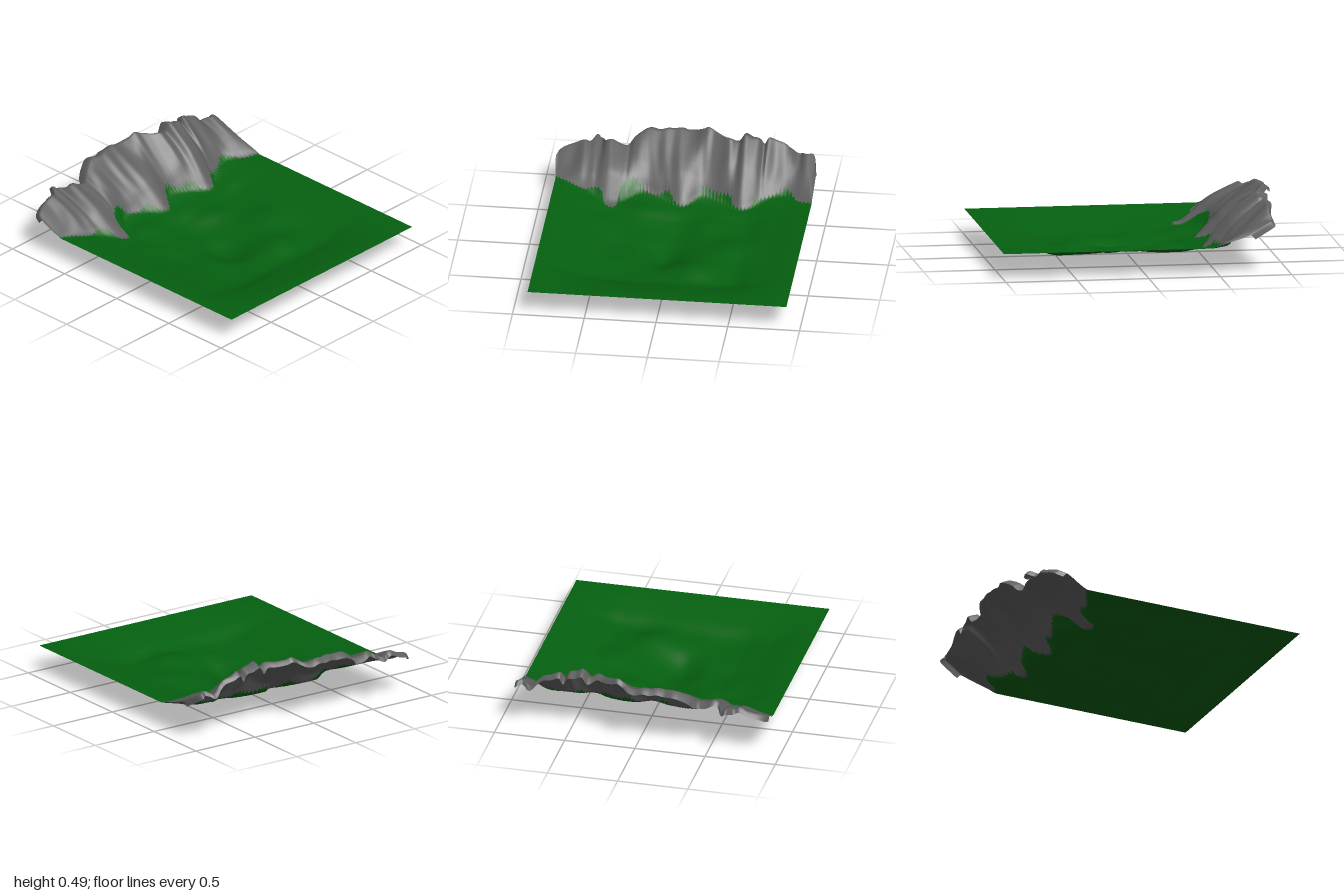
import * as THREE from 'three';

// Smooth curve through [x, value, x, value, ...]
function curve(p) {
  const n = p.length / 2;
  const slope = (i) => {
    const a = Math.max(i - 1, 0), b = Math.min(i + 1, n - 1);
    return (p[2 * b + 1] - p[2 * a + 1]) / (p[2 * b] - p[2 * a]);
  };
  return (x) => {
    let i = 0;
    while (i < n - 2 && x > p[2 * i + 2]) i++;
    const w = p[2 * i + 2] - p[2 * i];
    const t = THREE.MathUtils.clamp((x - p[2 * i]) / w, 0, 1);
    const t2 = t * t, t3 = t2 * t;
    return (2 * t3 - 3 * t2 + 1) * p[2 * i + 1] + (t3 - 2 * t2 + t) * w * slope(i)
      + (3 * t2 - 2 * t3) * p[2 * i + 3] + (t3 - t2) * w * slope(i + 1);
  };
}

// Height of the cliff crest along x
const crestY = curve([-0.895, 0.27, -0.88, 0.29, -0.85, 0.31, -0.78, 0.335, -0.72, 0.36, -0.68, 0.345,
  -0.64, 0.37, -0.61, 0.35, -0.54, 0.385, -0.48, 0.36, -0.41, 0.355, -0.37, 0.4, -0.3, 0.445,
  -0.26, 0.455, -0.2, 0.45, -0.15, 0.46, -0.1, 0.455, -0.05, 0.46, 0, 0.445, 0.05, 0.45,
  0.1, 0.475, 0.14, 0.495, 0.18, 0.48, 0.25, 0.465, 0.3, 0.465, 0.36, 0.44, 0.4, 0.495,
  0.45, 0.475, 0.5, 0.465, 0.535, 0.42, 0.56, 0.465, 0.62, 0.445, 0.68, 0.425, 0.72, 0.39,
  0.77, 0.345, 0.82, 0.365, 0.88, 0.35, 0.908, 0.27]);
// Rear edge of the cliff along x
const rimZ = curve([-0.895, -0.83, -0.88, -0.88, -0.8, -0.92, -0.72, -0.92, -0.68, -0.93, -0.64, -0.99,
  -0.6, -0.97, -0.57, -0.91, -0.5, -0.92, -0.42, -0.91, -0.4, -0.94, -0.33, -0.98, -0.27, -1,
  -0.2, -0.985, -0.1, -1, 0, -1, 0.05, -0.99, 0.1, -0.96, 0.16, -0.95, 0.22, -0.92, 0.3, -0.88,
  0.38, -0.92, 0.5, -0.91, 0.6, -0.92, 0.7, -0.9, 0.78, -0.92, 0.83, -0.88, 0.88, -0.9, 0.908, -0.76]);
// Line where the ground starts to climb, with spurs running forward
const footZ = curve([-0.895, -0.63, -0.7, -0.55, -0.48, -0.43, -0.3, -0.59, -0.15, -0.55, 0, -0.47,
  0.13, -0.58, 0.28, -0.54, 0.42, -0.46, 0.56, -0.55, 0.7, -0.6, 0.82, -0.52, 0.908, -0.46]);
// Border between grass and rock
const border = curve([-0.895, -0.65, -0.8, -0.6, -0.7, -0.55, -0.6, -0.55, -0.55, -0.5, -0.53, -0.42,
  -0.45, -0.41, -0.435, -0.53, -0.42, -0.58, -0.35, -0.63, -0.3, -0.62, -0.2, -0.57, -0.1, -0.57,
  -0.04, -0.5, 0.02, -0.48, 0.08, -0.55, 0.13, -0.62, 0.25, -0.58, 0.33, -0.55, 0.37, -0.49,
  0.45, -0.47, 0.5, -0.54, 0.6, -0.58, 0.7, -0.63, 0.75, -0.6, 0.8, -0.53, 0.85, -0.5, 0.908, -0.48]);

// Depth of the basin across x and along z, 0 to 1
const basinX = curve([-0.895, 0, -0.8, 0.13, -0.7, 0.36, -0.6, 0.62, -0.5, 0.8, -0.4, 0.95, 0, 1,
  0.4, 0.93, 0.5, 0.87, 0.6, 0.6, 0.7, 0.4, 0.8, 0.17, 0.908, 0]);
const basinZ = curve([-0.72, 0, -0.65, 0.12, -0.6, 0.4, -0.5, 0.72, -0.4, 0.83, -0.3, 1, 0.4, 1,
  0.55, 1, 0.6, 0.93, 0.7, 0.6, 0.8, 0.36, 0.9, 0.13, 1, 0]);
// Hollows (positive) and hummocks (negative): x, z, depth, radius
const dips = [[-0.05, 0.1, 0.062, 0.15], [-0.05, 0.24, 0.03, 0.12], [0, -0.15, 0.038, 0.17],
  [0.2, -0.25, -0.03, 0.13], [-0.4, 0.08, 0.015, 0.13], [-0.3, 0.45, 0.015, 0.16], [0.3, 0.62, 0.015, 0.15],
  [0.42, 0.1, -0.04, 0.16], [0.2, 0.42, -0.05, 0.16], [-0.27, -0.38, -0.03, 0.13], [-0.5, -0.2, -0.02, 0.15]];

function ground(x, z) {
  let d = 0.105;
  for (const [cx, cz, depth, r] of dips) {
    d += depth * Math.exp(-((x - cx) ** 2 + (z - cz) ** 2) / (r * r));
  }
  return 0.185 - d * basinX(x) * basinZ(z);
}

// Ground that climbs into a ribbed slope with a drooping lip
function height(x, z) {
  const s = (footZ(x) - z) / (footZ(x) - rimZ(x));
  const y = ground(x, z);
  if (s <= 0) return y;
  const top = 0.88 + 0.05 * Math.sin(9 * x + 1);
  const u = Math.min(s / top, 1);
  const rise = u * (1 + 0.15 * u * (1 - u)) * THREE.MathUtils.smoothstep(u, -0.15, 0.15);
  const lip = 0.03 * Math.max(0, (s - top) / (1 - top)) ** 1.5;
  const w = x + 0.04 * Math.sin(5 * x + 3 * s);
  const ribs = Math.sin(w * 17 + 1) + 0.5 * Math.sin(w * 31 - 2 * s) + 0.25 * Math.sin(w * 59 + 2);
  return y + (crestY(x) - y) * rise - lip + 0.03 * ribs * u * (1 - u);
}

export function createModel() {
  const cols = 260, grassRows = 80, rockRows = 36, rows = grassRows + rockRows;
  const pos = [];
  for (let j = 0; j <= rows; j++) {
    for (let i = 0; i <= cols; i++) {
      const x = -0.895 + (1.803 * i) / cols;
      // Ragged tufts along the border
      const tooth = Math.abs(((i * 0.27) % 1) - 0.5) * 0.05 * (0.6 + 0.4 * Math.sin(i * 1.7));
      const edge = border(x) - tooth + 0.01;
      const z = j <= grassRows
        ? THREE.MathUtils.lerp(1, edge, j / grassRows)
        : THREE.MathUtils.lerp(edge, rimZ(x), (j - grassRows) / rockRows);
      // Left end of the cliff swells outward
      const bulge = j > grassRows && x < -0.8 ? 0.017 * Math.sin(((j - grassRows) / rockRows) * 2) * (-x - 0.8) * 10 : 0;
      pos.push(x - bulge, height(x, z), z);
    }
  }

  const strip = (from, to) => {
    const index = [];
    for (let j = from; j < to; j++) {
      for (let i = 0; i < cols; i++) {
        const a = j * (cols + 1) + i, b = a + cols + 1;
        index.push(a, a + 1, b, a + 1, b + 1, b);
      }
    }
    return index;
  };

  // Both parts share one set of vertices so the shading runs across the border
  const whole = new THREE.BufferGeometry();
  whole.setAttribute('position', new THREE.Float32BufferAttribute(pos, 3));
  whole.setIndex(strip(0, rows));
  whole.computeVertexNormals();

  const group = new THREE.Group();
  group.name = 'terrain';
  const addPart = (name, color, from, to) => {
    const geometry = new THREE.BufferGeometry();
    geometry.setAttribute('position', whole.attributes.position);
    geometry.setAttribute('normal', whole.attributes.normal);
    geometry.setIndex(strip(from, to));
    const mesh = new THREE.Mesh(geometry, new THREE.MeshStandardMaterial({ color, side: THREE.DoubleSide }));
    mesh.name = name;
    group.add(mesh);
  };
  addPart('grassField', 0x056010, 0, grassRows);
  addPart('rockCliff', 0x606060, grassRows, rows);
  return group;
}
